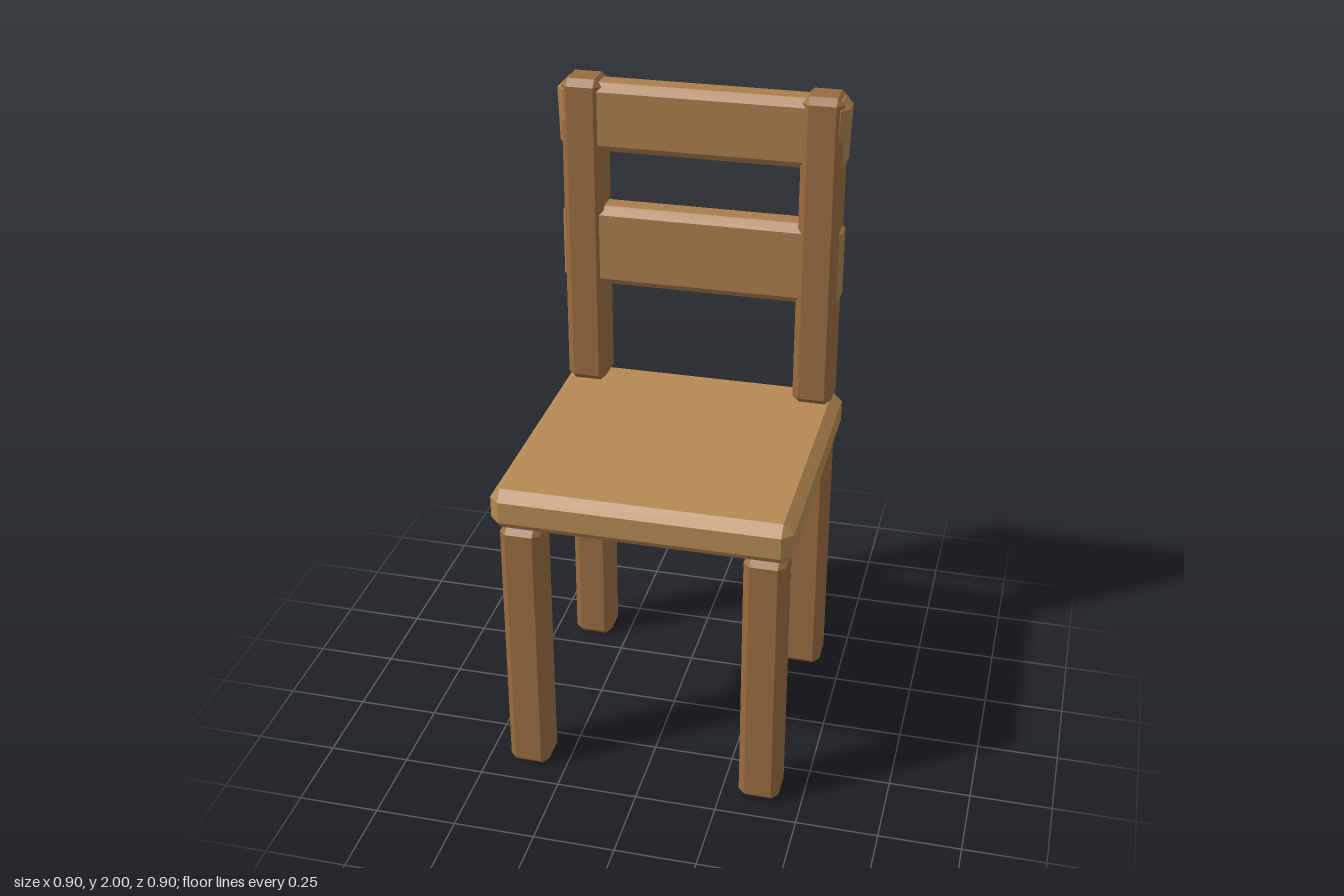
import * as THREE from 'three';
import { ConvexGeometry } from 'three/addons/geometries/ConvexGeometry.js';

// Box with flat chamfers on all edges; taper narrows its lower end in x
function chamferBox(w, h, d, b, taper = 0) {
  const points = [];
  for (const sx of [-1, 1]) for (const sy of [-1, 1]) for (const sz of [-1, 1]) {
    for (let axis = 0; axis < 3; axis++) {
      const inset = [b, b, b];
      inset[axis] = 0;
      const y = sy * (h / 2 - inset[1]);
      const x = w / 2 - inset[0] - taper * (0.5 - y / h);
      points.push(new THREE.Vector3(sx * x, y, sz * (d / 2 - inset[2])));
    }
  }
  return new ConvexGeometry(points);
}

export function createModel() {
  const chair = new THREE.Group();
  chair.name = 'chair';

  const wood = (color) => new THREE.MeshStandardMaterial({ color, flatShading: true });
  const seatWood = wood(0xb58853);
  const legWood = wood(0x996b3e);
  const railWood = wood(0xab7d4d);

  const add = (name, geometry, material, x, y, z) => {
    const mesh = new THREE.Mesh(geometry, material);
    mesh.name = name;
    mesh.position.set(x, y, z);
    chair.add(mesh);
  };

  // Seat
  add('seat', chamferBox(0.9, 0.13, 0.9, 0.031), seatWood, 0, 0.935, 0);

  // Legs and back posts
  const leg = chamferBox(0.125, 0.865, 0.125, 0.021);
  const post = chamferBox(0.125, 1.0, 0.125, 0.021);
  for (const [side, s] of [['left', 1], ['right', -1]]) {
    add(`${side}FrontLeg`, leg, legWood, s * 0.367, 0.4375, 0.367);
    add(`${side}BackLeg`, leg, legWood, s * 0.367, 0.4375, -0.367);
    add(`${side}BackPost`, post, legWood, s * 0.367, 1.5, -0.367);
  }

  // Back rails, their ends standing slightly proud of the posts
  add('topRail', chamferBox(0.892, 0.215, 0.105, 0.024, 0.008), railWood, 0, 1.8825, -0.366);
  add('middleRail', chamferBox(0.876, 0.26, 0.105, 0.024), railWood, 0, 1.468, -0.366);

  return chair;
}
